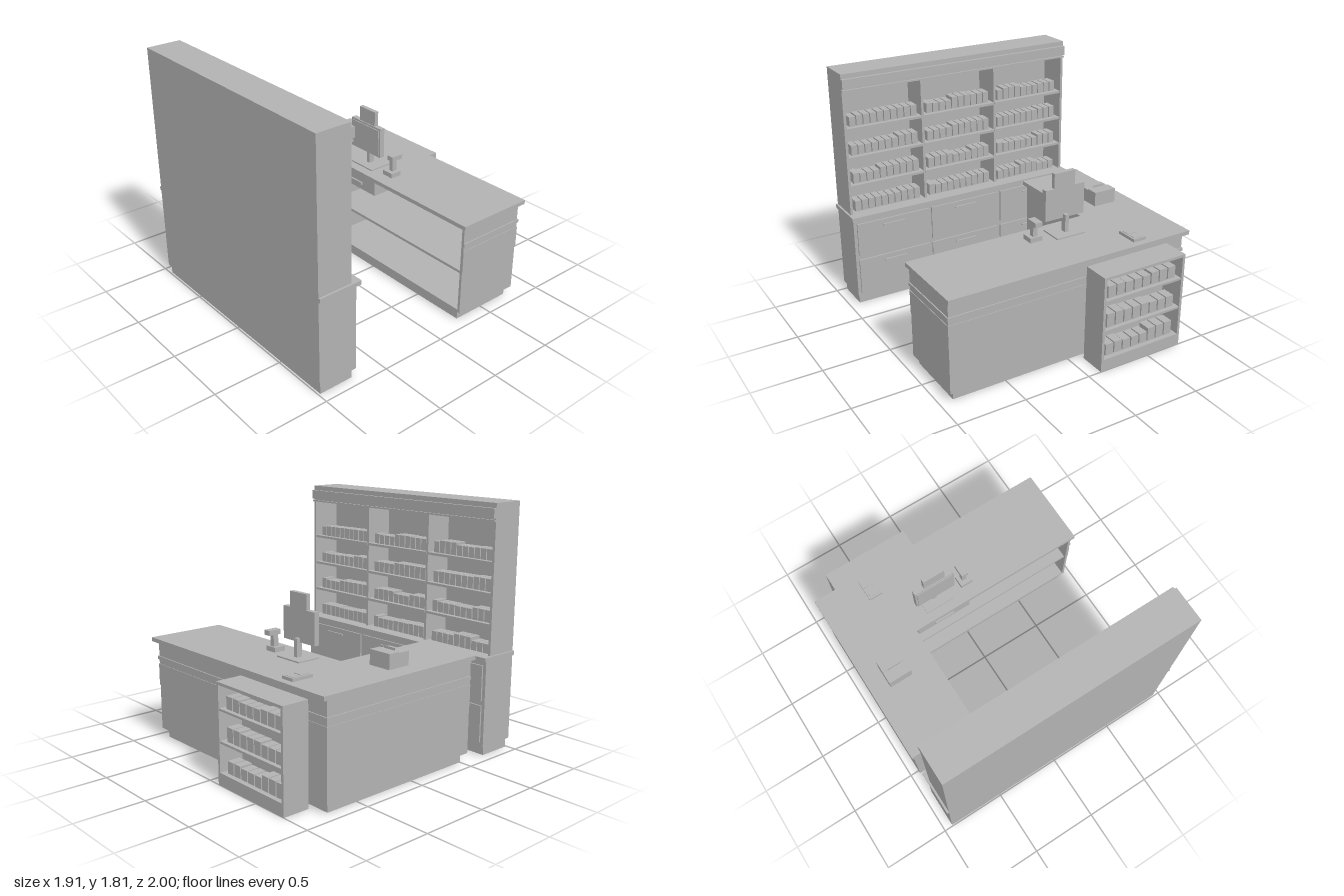
import * as THREE from 'three';

const grey = new THREE.MeshStandardMaterial({ color: 0xb2b2b2 });
grey.name = 'plain grey';

// Box from its limits on each axis
function box(parent, name, x0, x1, y0, y1, z0, z1) {
  const mesh = new THREE.Mesh(new THREE.BoxGeometry(x1 - x0, y1 - y0, z1 - z0), grey);
  mesh.position.set((x0 + x1) / 2, (y0 + y1) / 2, (z0 + z1) / 2);
  mesh.name = name;
  parent.add(mesh);
  return mesh;
}

function section(parent, name) {
  const g = new THREE.Group();
  g.name = name;
  parent.add(g);
  return g;
}

// Small seeded generator for the box heights
let seed = 7;
function rand() {
  seed = (seed * 16807) % 2147483647;
  return seed / 2147483647;
}

// A row of packets standing on a shelf, in runs of equal height
function packetRow(parent, x0, x1, y, z0, z1, count, height) {
  const pitch = (x1 - x0) / count;
  let h = height;
  for (let i = 0; i < count; i++) {
    if (i % 3 === 0) h = height * (0.85 + 0.3 * rand());
    const x = x0 + i * pitch;
    box(parent, 'packet', x, x + pitch * 0.86, y, y + h, z0, z1);
  }
}

function wallCabinet(root) {
  const g = section(root, 'wallCabinet');
  // Lower cabinet
  box(g, 'plinth', -0.92, 0.92, 0, 0.07, 0.73, 0.985);
  box(g, 'lowerBody', -0.935, 0.935, 0.07, 0.705, 0.705, 1);
  box(g, 'worktop', -0.95, 0.95, 0.705, 0.735, 0.675, 1);
  for (let c = -1; c <= 1; c++) {
    for (const [y0, y1] of [[0.1, 0.375], [0.41, 0.67]]) {
      const x = c * 0.615;
      box(g, 'drawerFront', x - 0.295, x + 0.295, y0, y1, 0.693, 0.706);
      box(g, 'drawerHandle', x - 0.09, x + 0.09, y1 - 0.05, y1 - 0.037, 0.682, 0.694);
    }
  }
  // Open shelving
  box(g, 'backPanel', -0.935, 0.935, 0.735, 1.805, 0.975, 1);
  box(g, 'header', -0.935, 0.935, 1.68, 1.805, 0.745, 0.975);
  box(g, 'corniceBand', -0.935, 0.935, 1.7, 1.77, 0.722, 0.746);
  box(g, 'corniceBead', -0.935, 0.935, 1.678, 1.69, 0.73, 0.746);
  for (const s of [-1, 1]) {
    box(g, 'sidePanel', s * 0.925 - 0.01, s * 0.925 + 0.01, 0.735, 1.68, 0.745, 0.975);
    box(g, 'divider', s * 0.31 - 0.01, s * 0.31 + 0.01, 0.735, 1.68, 0.755, 0.975);
  }
  const bays = [-0.615, 0, 0.615];
  for (const y of [0.735, 0.96, 1.18, 1.4]) {
    for (const x of bays) {
      if (y > 0.8) box(g, 'shelf', x - 0.306, x + 0.306, y - 0.018, y, 0.75, 0.975);
      packetRow(g, x - 0.27, x + 0.27, y, 0.785, 0.885, 10, 0.08);
    }
  }
}

function counter(root) {
  const g = section(root, 'counter');
  // L-shaped worktop and plinth
  box(g, 'worktop', -0.958, 0.955, 0.75, 0.78, -0.83, -0.228);
  box(g, 'worktopWing', -0.958, -0.448, 0.75, 0.78, -0.228, 0.555);
  box(g, 'plinth', -0.9, 0.9, 0, 0.07, -0.75, -0.26);
  box(g, 'plinthWing', -0.9, -0.51, 0, 0.07, -0.26, 0.5);
  // Closed wing and open shelved run
  box(g, 'wingBody', -0.935, -0.475, 0.07, 0.75, -0.785, 0.535);
  box(g, 'backPanel', -0.475, 0.935, 0.07, 0.75, -0.785, -0.765);
  box(g, 'endPanel', 0.915, 0.935, 0.07, 0.75, -0.765, -0.245);
  box(g, 'floorBoard', -0.475, 0.915, 0.07, 0.09, -0.765, -0.245);
  box(g, 'shelf', -0.475, 0.915, 0.38, 0.4, -0.765, -0.26);
  box(g, 'tillDrawer', -0.42, 0.02, 0.63, 0.745, -0.6, -0.245);
  box(g, 'tillDrawerHandle', -0.28, -0.12, 0.67, 0.69, -0.246, -0.232);
  // Trim rail and raised panel on the outer faces
  for (const [name, y0, y1, d] of [['trimRail', 0.61, 0.635, 0.008], ['raisedPanel', 0.41, 0.575, 0.004]]) {
    box(g, name + 'Back', -0.935 - d, 0.935 + d, y0, y1, -0.785 - d, -0.785);
    box(g, name + 'Right', -0.935 - d, -0.935, y0, y1, -0.785, 0.535);
    box(g, name + 'Left', 0.935, 0.935 + d, y0, y1, -0.785, -0.245);
  }
}

function displayRack(root) {
  const g = section(root, 'displayRack');
  box(g, 'base', -0.78, -0.1, 0, 0.09, -1, -0.8);
  box(g, 'top', -0.78, -0.1, 0.695, 0.715, -1, -0.8);
  box(g, 'backPanel', -0.78, -0.1, 0.09, 0.695, -0.815, -0.8);
  box(g, 'sidePanel', -0.78, -0.76, 0.09, 0.695, -1, -0.815);
  box(g, 'sidePanel', -0.12, -0.1, 0.09, 0.695, -1, -0.815);
  for (const y of [0.09, 0.31, 0.535]) {
    if (y > 0.1) box(g, 'shelf', -0.76, -0.12, y - 0.016, y, -0.995, -0.815);
    packetRow(g, -0.73, -0.15, y, -0.965, -0.87, 8, 0.09);
  }
}

function equipment(root) {
  // Till screen with a smaller display on top
  const till = section(root, 'till');
  box(till, 'tillBase', -0.31, -0.08, 0.78, 0.79, -0.48, -0.3);
  box(till, 'tillPole', -0.215, -0.185, 0.79, 0.92, -0.415, -0.37);
  box(till, 'monitor', -0.36, -0.04, 0.89, 1.12, -0.385, -0.345);
  box(till, 'screen', -0.345, -0.055, 0.905, 1.105, -0.345, -0.338);
  box(till, 'upperDisplay', -0.28, -0.11, 1.12, 1.23, -0.385, -0.352);

  // Hand scanner on a stand
  const scanner = section(root, 'scanner');
  box(scanner, 'scannerBase', 0.01, 0.105, 0.78, 0.815, -0.425, -0.335);
  box(scanner, 'scannerStem', 0.04, 0.075, 0.815, 0.9, -0.41, -0.37);
  box(scanner, 'scannerHead', 0.03, 0.085, 0.9, 0.935, -0.455, -0.357);

  // Receipt printer
  const printer = section(root, 'receiptPrinter');
  box(printer, 'printerBody', -0.82, -0.64, 0.78, 0.88, -0.145, 0.037);
  box(printer, 'printerLid', -0.82, -0.64, 0.88, 0.888, -0.145, -0.055);
  box(printer, 'receipt', -0.78, -0.68, 0.88, 0.905, -0.055, -0.051);

  // Card terminal
  const terminal = section(root, 'cardTerminal');
  box(terminal, 'terminalBody', -0.61, -0.505, 0.78, 0.802, -0.78, -0.615);
  box(terminal, 'terminalScreen', -0.595, -0.52, 0.802, 0.806, -0.695, -0.63);
  box(terminal, 'terminalKeypad', -0.595, -0.52, 0.802, 0.805, -0.765, -0.71);
}

export function createModel() {
  seed = 7;
  const root = new THREE.Group();
  root.name = 'shopCounter';
  wallCabinet(root);
  counter(root);
  displayRack(root);
  equipment(root);
  return root;
}
